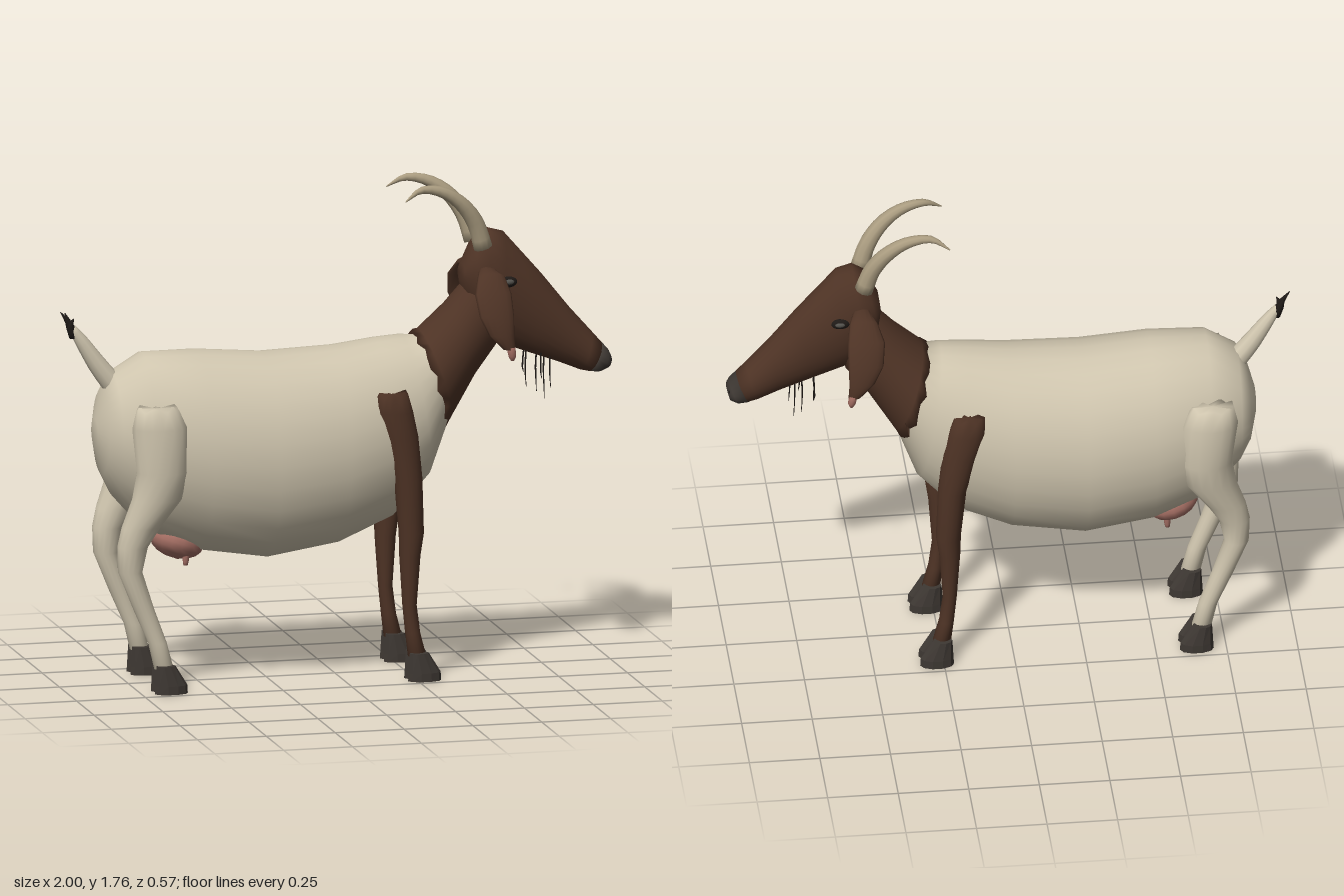
import * as THREE from 'three';

const V = (x, y, z) => new THREE.Vector3(x, y, z);

// Ring in the vertical mid-plane: top point, bottom point, half width in z
const upright = ([tx, ty, bx, by, w]) => ({
  c: V((tx + bx) / 2, (ty + by) / 2, 0),
  u: V((tx - bx) / 2, (ty - by) / 2, 0),
  v: V(0, 0, w),
});

// Level ring: height and its extent in x and z, mirrored by side
const level = (side) => ([y, x0, x1, z0, z1]) => ({
  c: V((x0 + x1) / 2, y, side * (z0 + z1) / 2),
  u: V((x1 - x0) / 2, 0, 0),
  v: V(0, 0, (z1 - z0) / 2),
});

// Closed skin over elliptical rings; jag makes the first edge ragged
function loft(rings, n = 20, { jag = 0, flat = false } = {}) {
  const pos = [], idx = [], last = rings.length - 1;
  rings.forEach((r, i) => {
    const dir = rings[Math.min(i + 1, last)].c.clone().sub(rings[Math.max(i - 1, 0)].c).normalize();
    const flip = r.u.clone().cross(r.v).dot(dir) < 0 ? -1 : 1;
    for (let j = 0; j < n; j++) {
      const a = (j / n) * Math.PI * 2;
      const p = r.c.clone().addScaledVector(r.u, Math.cos(a)).addScaledVector(r.v, flip * Math.sin(a));
      if (i === 0) p.addScaledVector(dir, jag * Math.sin(j * 2.4));
      pos.push(p.x, p.y, p.z);
    }
  });
  for (let i = 0; i < last; i++) {
    for (let j = 0; j < n; j++) {
      const k = (j + 1) % n, a = i * n + j, b = i * n + k;
      idx.push(a, b, b + n, a, b + n, a + n);
    }
  }
  const start = pos.length / 3, end = start + 1;
  pos.push(...rings[0].c.toArray(), ...rings[last].c.toArray());
  for (let j = 0; j < n; j++) {
    const k = (j + 1) % n;
    idx.push(start, k, j, end, last * n + j, last * n + k);
  }
  let g = new THREE.BufferGeometry();
  g.setAttribute('position', new THREE.Float32BufferAttribute(pos, 3));
  g.setIndex(idx);
  if (flat) g = g.toNonIndexed();
  g.computeVertexNormals();
  return g;
}

// Round tapered skin along a smooth path of [x, y, z, radius]
function taper(points, steps = 14, n = 10) {
  const curve = new THREE.CatmullRomCurve3(points.map((p) => V(p[0], p[1], p[2])));
  const rings = [];
  for (let i = 0; i <= steps; i++) {
    const t = i / steps, f = t * (points.length - 1), k = Math.min(Math.floor(f), points.length - 2);
    const r = THREE.MathUtils.lerp(points[k][3], points[k + 1][3], f - k);
    const dir = curve.getTangent(t);
    const u = V(0, 0, 1).cross(dir).normalize();
    const v = dir.clone().cross(u).normalize();
    rings.push({ c: curve.getPoint(t), u: u.multiplyScalar(r), v: v.multiplyScalar(r) });
  }
  return loft(rings, n);
}

export function createModel() {
  const goat = new THREE.Group();
  goat.name = 'goat';
  const mat = (name, color) => {
    const m = new THREE.MeshStandardMaterial({ color });
    m.name = name;
    return m;
  };
  const cream = mat('creamCoat', 0xcfc5ae);
  const brown = mat('brownCoat', 0x4e3325);
  const hoofGrey = mat('hoofGrey', 0x3e3833);
  const hornTan = mat('hornTan', 0xaa9c80);
  const pink = mat('pinkSkin', 0xa56f64);
  const black = mat('darkHair', 0x1f1a17);
  const eyeGrey = mat('eyeGrey', 0x55534e);

  const add = (name, geometry, material) => {
    const m = new THREE.Mesh(geometry, material);
    m.name = name;
    goat.add(m);
    return m;
  };
  const ball = (name, material, p, s) => {
    const m = add(name, new THREE.SphereGeometry(1, 16, 10), material);
    m.position.set(...p);
    m.scale.set(...s);
    return m;
  };

  // Barrel body from rump to chest
  add('body', loft([
    [-0.872, 0.96, -0.872, 0.86, 0.05], [-0.845, 1.06, -0.85, 0.76, 0.13],
    [-0.81, 1.125, -0.81, 0.68, 0.175], [-0.70, 1.19, -0.70, 0.555, 0.225],
    [-0.5, 1.19, -0.5, 0.472, 0.265], [-0.26, 1.17, -0.26, 0.435, 0.277],
    [0, 1.18, 0, 0.475, 0.257], [0.15, 1.2, 0.2, 0.56, 0.222],
    [0.24, 1.206, 0.33, 0.70, 0.195], [0.295, 1.2, 0.4, 0.89, 0.16],
    [0.37, 1.26, 0.46, 1.01, 0.12],
  ].map(upright), 28), cream);

  // Neck with ragged colour edge
  add('neck', loft([
    [0.283, 1.212, 0.392, 0.866, 0.173], [0.305, 1.222, 0.413, 0.905, 0.162],
    [0.4, 1.31, 0.5, 1.05, 0.13], [0.475, 1.395, 0.58, 1.155, 0.105],
    [0.53, 1.46, 0.61, 1.25, 0.08],
  ].map(upright), 28, { jag: 0.012 }), brown);

  // Head and muzzle
  add('head', loft([
    [0.462, 1.45, 0.455, 1.39, 0.05], [0.51, 1.545, 0.46, 1.33, 0.09],
    [0.555, 1.575, 0.51, 1.23, 0.105], [0.61, 1.56, 0.58, 1.165, 0.1],
    [0.75, 1.4, 0.7, 1.12, 0.086], [0.85, 1.275, 0.81, 1.08, 0.073],
    [0.93, 1.185, 0.89, 1.047, 0.067], [0.965, 1.145, 0.925, 1.04, 0.066],
  ].map(upright), 24), brown);
  add('nose', loft([
    [0.965, 1.145, 0.92, 1.04, 0.067], [0.99, 1.118, 0.955, 1.038, 0.064],
    [1.0, 1.095, 0.985, 1.05, 0.045],
  ].map(upright), 20), hoofGrey);

  for (const s of [1, -1]) {
    const side = s > 0 ? 'right' : 'left';
    const lv = level(s);

    // Horn sweeping back
    add(side + 'Horn', taper([
      [0.52, 1.52, s * 0.072, 0.034], [0.49, 1.61, s * 0.083, 0.031], [0.435, 1.685, s * 0.098, 0.026],
      [0.365, 1.732, s * 0.108, 0.02], [0.285, 1.745, s * 0.118, 0.013], [0.222, 1.71, s * 0.14, 0.002],
    ]), hornTan);

    // Drooping ear: centre, half width in x, tilt of its thickness
    const ear = ([x, y, z, w, ty, tz]) => ({ c: V(x, y, s * z), u: V(w, 0, 0), v: V(0, ty, s * tz) });
    add(side + 'Ear', loft([
      [0.53, 1.435, 0.085, 0.028, 0.02, 0], [0.53, 1.425, 0.15, 0.05, 0.016, 0.01],
      [0.525, 1.375, 0.2, 0.066, 0.01, 0.015], [0.53, 1.3, 0.235, 0.062, 0.004, 0.018],
      [0.545, 1.235, 0.247, 0.045, 0, 0.018], [0.572, 1.185, 0.25, 0.022, 0, 0.015],
    ].map(ear), 14), brown);
    add(side + 'EarTip', loft([
      [0.577, 1.192, 0.25, 0.016, 0, 0.016], [0.582, 1.16, 0.25, 0.014, 0, 0.014],
      [0.583, 1.143, 0.248, 0.006, 0, 0.006],
    ].map(ear), 10), pink);

    // Eye and nostril
    ball(side + 'Eye', black, [0.605, 1.395, s * 0.096], [0.033, 0.02, 0.013]);
    ball(side + 'Iris', eyeGrey, [0.607, 1.396, s * 0.102], [0.02, 0.011, 0.01]);
    ball(side + 'Nostril', black, [0.988, 1.093, s * 0.03], [0.008, 0.008, 0.012]);

    // Front leg
    add(side + 'FrontLeg', loft([
      [1.035, 0.105, 0.215, 0.165, 0.237], [0.97, 0.1, 0.235, 0.15, 0.243], [0.88, 0.125, 0.255, 0.135, 0.245],
      [0.73, 0.168, 0.27, 0.132, 0.24], [0.53, 0.188, 0.277, 0.13, 0.23], [0.45, 0.19, 0.265, 0.135, 0.222],
      [0.27, 0.202, 0.252, 0.142, 0.208], [0.17, 0.212, 0.265, 0.142, 0.208], [0.085, 0.222, 0.287, 0.138, 0.212],
    ].map(lv), 16, { jag: 0.012 }), brown);

    // Back leg with bent hock
    add(side + 'BackLeg', loft([
      [1.03, -0.775, -0.625, 0.17, 0.262], [0.96, -0.79, -0.59, 0.15, 0.283], [0.8, -0.77, -0.585, 0.13, 0.28],
      [0.7, -0.785, -0.605, 0.125, 0.265], [0.6, -0.82, -0.68, 0.128, 0.243], [0.53, -0.835, -0.725, 0.132, 0.232],
      [0.44, -0.832, -0.745, 0.135, 0.224], [0.3, -0.775, -0.7, 0.14, 0.215], [0.18, -0.722, -0.655, 0.142, 0.21],
      [0.085, -0.7, -0.63, 0.14, 0.212],
    ].map(lv), 16, { jag: 0.01 }), cream);

    // Cloven hooves, two toes each
    for (const [name, x] of [['Front', 0.215], ['Back', -0.705]]) {
      for (const z of [0.146, 0.204]) {
        add(side + name + 'Hoof', loft([
          [0, x, x + 0.12, z - 0.031, z + 0.031], [0.03, x + 0.002, x + 0.118, z - 0.031, z + 0.031],
          [0.1, x + 0.006, x + 0.075, z - 0.024, z + 0.024],
        ].map(lv), 10, { flat: true }), hoofGrey);
      }
    }

    // Teat
    add(side + 'Teat', taper([
      [-0.555, 0.49, s * 0.06, 0.014], [-0.556, 0.45, s * 0.06, 0.012], [-0.557, 0.428, s * 0.06, 0.008],
    ], 4, 8), pink);
  }

  // Udder
  const udder = ball('udder', pink, [-0.575, 0.51, 0], [0.1, 0.065, 0.1]);
  udder.rotation.z = -0.3;

  // Tail and its dark tuft
  add('tail', taper([
    [-0.79, 1.06, 0, 0.04], [-0.86, 1.15, 0, 0.034], [-0.92, 1.24, 0, 0.024], [-0.955, 1.29, 0, 0.014],
  ], 8), cream);
  for (const [x, y, z] of [[-0.998, 1.35, 0.006], [-0.975, 1.34, -0.02], [-0.95, 1.325, 0.012]]) {
    add('tailTuft', taper([[-0.95, 1.255, 0, 0.014], [-0.962, 1.3, z * 0.5, 0.014], [x, y, z, 0.001]], 5, 8), black);
  }

  // Beard strands
  for (const [x, y, z] of [[0.69, 1, 0.02], [0.695, 1.04, -0.04], [0.735, 0.975, -0.01],
    [0.76, 0.95, 0.005], [0.775, 0.995, 0.035], [0.74, 1.03, 0.045]]) {
    add('beardStrand', taper([[x, 1.13, z * 0.8, 0.003], [x - 0.004, 1.06, z, 0.003], [x, y, z, 0.001]], 4, 5), black);
  }

  return goat;
}
